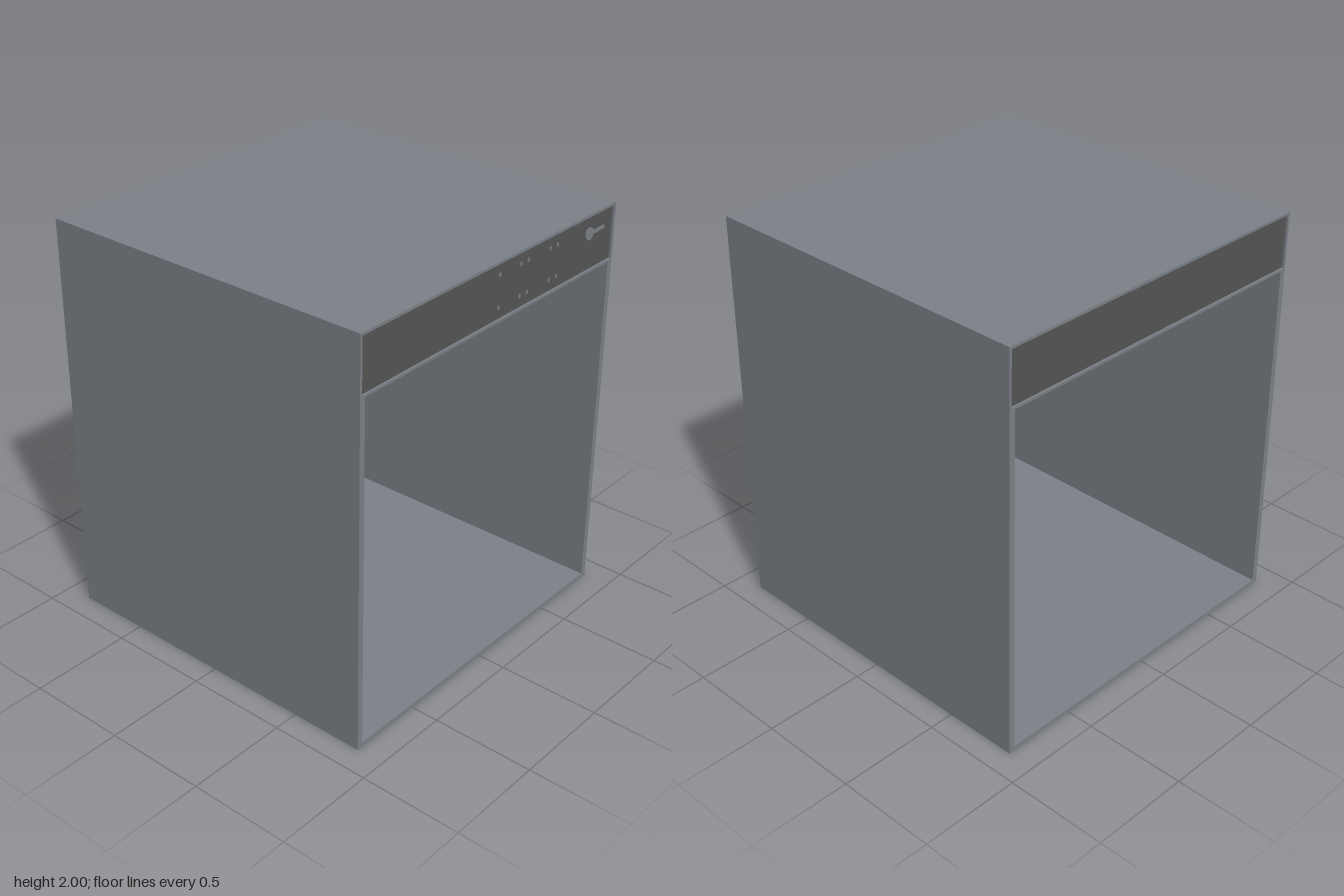
import * as THREE from 'three';

const W = 1.73, D = 1.76, H = 2;

// rectangle between two corners, as a shape or a hole
function rect(Type, halfWidth, y0, y1) {
  const p = new Type();
  p.moveTo(-halfWidth, y0);
  p.lineTo(halfWidth, y0);
  p.lineTo(halfWidth, y1);
  p.lineTo(-halfWidth, y1);
  p.closePath();
  return p;
}

export function createModel() {
  const model = new THREE.Group();
  const casing = new THREE.MeshStandardMaterial({ color: 0x7b8188 });
  casing.name = 'casing grey';
  const dark = new THREE.MeshStandardMaterial({ color: 0x555555 });
  dark.name = 'panel dark grey';

  const add = (name, geometry, material, x, y, z) => {
    const mesh = new THREE.Mesh(geometry, material);
    mesh.name = name;
    mesh.position.set(x, y, z);
    model.add(mesh);
    return mesh;
  };

  // Casing: one sleeve with a through opening and a shallow bay above it
  const profile = rect(THREE.Shape, D / 2, 0, H);
  profile.holes.push(rect(THREE.Path, 0.85, 0.022, 1.718));
  profile.holes.push(rect(THREE.Path, 0.868, 1.73, 1.987));
  const sleeve = new THREE.ExtrudeGeometry(profile, { depth: W, bevelEnabled: false });
  sleeve.translate(0, 0, -W / 2);
  sleeve.rotateY(Math.PI / 2);
  add('casing', sleeve, casing, 0, 0, 0);

  // Recessed control panels at both open ends
  for (const side of [1, -1]) {
    add(side > 0 ? 'controlPanel' : 'rearPanel',
      new THREE.BoxGeometry(0.02, 0.257, 1.736), dark, side * (W / 2 - 0.02), 1.8585, 0);
  }

  // Round knob with its pointer bar
  const face = W / 2 - 0.008;
  const disc = new THREE.CylinderGeometry(0.03, 0.03, 0.006, 24);
  disc.rotateZ(Math.PI / 2);
  add('knob', disc, casing, face, 1.903, -0.688);
  add('knobBar', new THREE.BoxGeometry(0.006, 0.016, 0.09), casing, face, 1.903, -0.76);

  // Small indicator ticks in two rows
  for (const y of [1.932, 1.783]) {
    for (const z of [-0.02, -0.17, -0.225, -0.385, -0.44]) {
      add('indicatorTick', new THREE.BoxGeometry(0.004, 0.016, 0.012), casing, face, y, z);
    }
  }
  return model;
}
